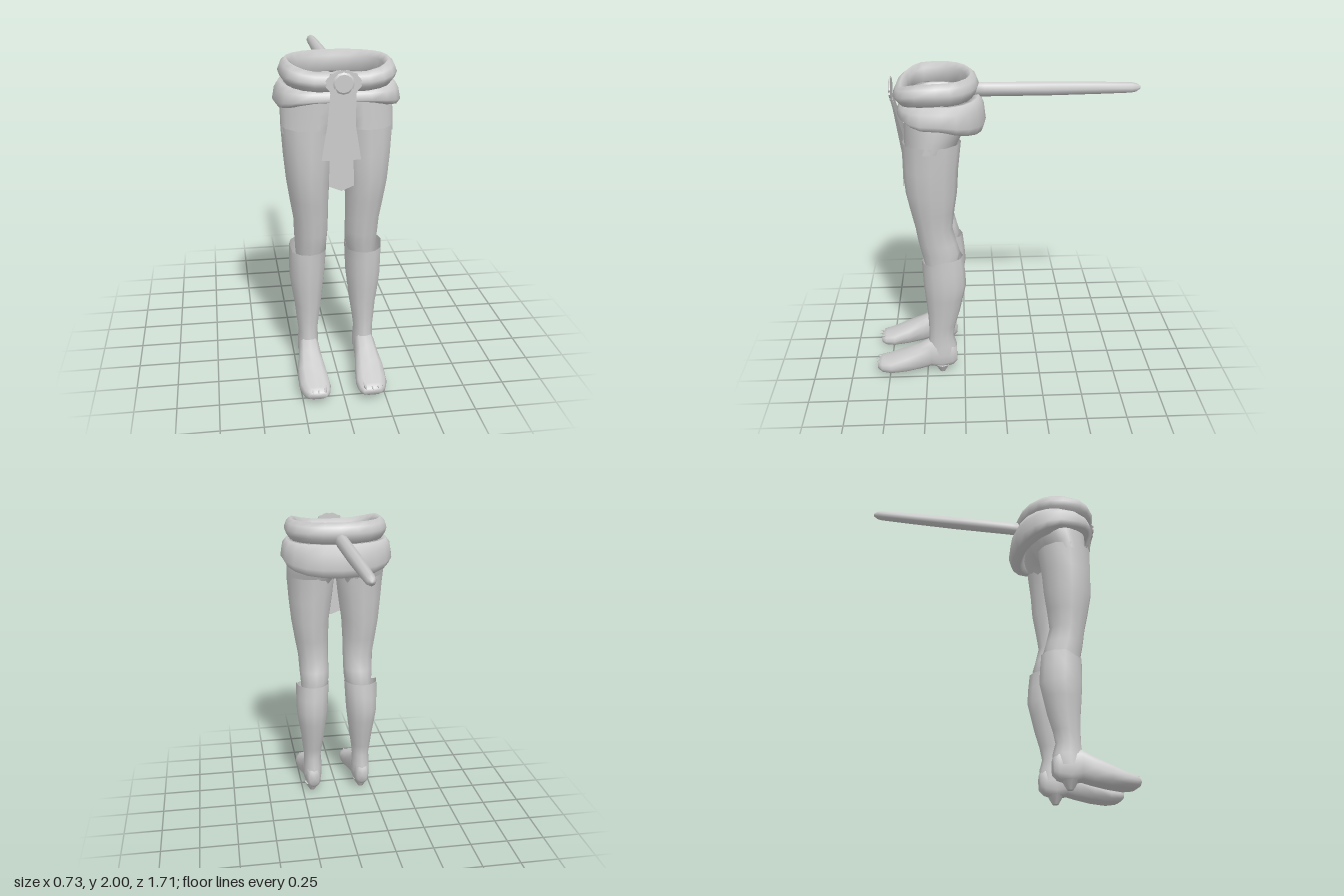
import * as THREE from 'three';

const mat = new THREE.MeshStandardMaterial({ color: 0xcccccc, side: THREE.DoubleSide });

function add(parent, name, geo) {
  const m = new THREE.Mesh(geo, mat);
  m.name = name;
  parent.add(m);
  return m;
}

// Smooth skin over rings of [x, y, z]; optionally joined end to end or capped
function loft(rings, { loop = false, capStart = false, capEnd = false } = {}) {
  const n = rings[0].length, m = rings.length, idx = [];
  const pos = rings.flat();
  for (let i = 0; i < (loop ? m : m - 1); i++) {
    for (let j = 0; j < n; j++) {
      const a = i * n + j, b = i * n + (j + 1) % n;
      const c = ((i + 1) % m) * n + j, d = ((i + 1) % m) * n + (j + 1) % n;
      idx.push(a, c, b, b, c, d);
    }
  }
  const cap = (i, flip) => {
    const r = rings[i], k = pos.length;
    pos.push([0, 1, 2].map(q => r.reduce((s, p) => s + p[q], 0) / n));
    for (let j = 0; j < n; j++) {
      const a = i * n + j, b = i * n + (j + 1) % n;
      idx.push(...(flip ? [k, b, a] : [k, a, b]));
    }
  };
  if (capStart) cap(0, false);
  if (capEnd) cap(m - 1, true);
  const g = new THREE.BufferGeometry();
  g.setAttribute('position', new THREE.Float32BufferAttribute(pos.flat(), 3));
  g.setIndex(idx);
  g.computeVertexNormals();
  return g;
}

const spow = (v, e) => Math.sign(v) * Math.pow(Math.abs(v), e);
const angles = n => Array.from({ length: n }, (_, i) => i / n * Math.PI * 2);

// Horizontal ring between x0..x1 and z0..z1
const ringY = ([y, x0, x1, z0, z1], n = 12) => angles(n).map(a => [
  (x0 + x1) / 2 + Math.cos(a) * (x1 - x0) / 2, y, (z0 + z1) / 2 + Math.sin(a) * (z1 - z0) / 2]);

// Cloth roll around the hips; section(s) gives [inset, y] points, s = -1 back to 1 front
function roll(rx, z0, z1, section) {
  const rings = angles(20).map(a => {
    const s = Math.sin(a), e = s > 0 ? 0.65 : 0.92;
    const cx = spow(Math.cos(a), e), cz = spow(s, e);
    return section(s).map(([d, y]) => [cx * (rx - d), y, (z0 + z1) / 2 + cz * ((z1 - z0) / 2 - d)]);
  });
  return loft(rings, { loop: true });
}

function buildLeg(name) {
  const leg = new THREE.Group();
  leg.name = name;

  // Rows: y, inner x, outer x, back z, front z
  const thigh = [
    [0.80, 0.075, 0.245, 0.28, 0.49], [0.88, 0.055, 0.25, 0.265, 0.51], [0.95, 0.052, 0.255, 0.285, 0.525],
    [1.05, 0.052, 0.26, 0.31, 0.54], [1.17, 0.05, 0.28, 0.295, 0.565], [1.30, 0.043, 0.30, 0.275, 0.59],
    [1.45, 0.022, 0.315, 0.265, 0.597], [1.62, 0.002, 0.326, 0.245, 0.60]];
  add(leg, 'thigh', loft(thigh.map(r => ringY(r))));

  const calf = [
    [0.14, 0.11, 0.24, 0.30, 0.50], [0.21, 0.11, 0.24, 0.30, 0.49], [0.28, 0.115, 0.235, 0.32, 0.48],
    [0.36, 0.105, 0.245, 0.305, 0.48], [0.46, 0.09, 0.255, 0.275, 0.485], [0.57, 0.077, 0.273, 0.25, 0.495],
    [0.66, 0.066, 0.284, 0.23, 0.503], [0.76, 0.06, 0.285, 0.237, 0.507], [0.86, 0.055, 0.284, 0.248, 0.51]];
  const calfRings = calf.map(r => ringY(r));
  // The cuff dips slightly at the front
  for (const p of calfRings.at(-1)) p[1] -= p[2] > 0.4 ? 0.03 : 0;
  add(leg, 'calf', loft(calfRings));

  // Foot rows from toes to heel: z, centre x, half width, bottom y, top y
  const foot = [
    [0.83, 0.165, 0.055, 0.04, 0.085], [0.80, 0.168, 0.08, 0.02, 0.105], [0.74, 0.172, 0.094, 0.012, 0.12],
    [0.64, 0.177, 0.09, 0.02, 0.165], [0.54, 0.177, 0.074, 0.035, 0.21], [0.47, 0.176, 0.066, 0.05, 0.25],
    [0.40, 0.176, 0.06, 0.03, 0.26], [0.33, 0.176, 0.052, 0.05, 0.24], [0.30, 0.176, 0.035, 0.08, 0.19]];
  add(leg, 'foot', loft(foot.map(([z, x, w, b, t]) => angles(12).map(a => [
    x + spow(Math.cos(a), 0.8) * w, (b + t) / 2 + spow(Math.sin(a), 0.8) * (t - b) / 2, z])),
  { capStart: true, capEnd: true }));

  // Pointed heel pad
  add(leg, 'heel', new THREE.CylinderGeometry(0.055, 0.02, 0.06, 8)).position.set(0.18, 0.03, 0.40);

  // Toe claws
  [[0.122, 0.018, 0.795], [0.162, 0.012, 0.80], [0.197, 0.012, 0.79], [0.228, 0.011, 0.775]].forEach(([x, r, z]) => {
    const claw = add(leg, 'claw', new THREE.ConeGeometry(r, 0.065, 5));
    claw.rotation.x = Math.PI / 2;
    claw.position.set(x, 0.088, z + 0.02);
  });
  return leg;
}

// Thin hanging cloth strip, from its outline
function strip(points, z) {
  const g = new THREE.ShapeGeometry(new THREE.Shape(points.map(p => new THREE.Vector2(...p))));
  const p = g.attributes.position;
  for (let i = 0; i < p.count; i++) p.setZ(i, z + Math.max(0, p.getY(i) - 1.7) * 0.35);
  return g;
}

export function createModel() {
  const model = new THREE.Group();

  // Legs
  model.add(buildLeg('leftLeg'));
  const right = buildLeg('rightLeg');
  right.scale.x = -1;
  model.add(right);

  // Open pelvis shell: pinched into two thigh openings at the bottom
  const pelvis = [
    [1.58, 0.324, 0.26, 0.60, 0.96], [1.64, 0.326, 0.23, 0.60, 0.6], [1.70, 0.326, 0.20, 0.60, 0.3],
    [1.78, 0.32, 0.18, 0.60, 0.1], [1.93, 0.29, 0.175, 0.60, 0]];
  add(model, 'pelvis', loft(pelvis.map(([y, x, z0, z1, pinch]) => ringY([y, -x, x, z0, z1], 32).map(p => {
    const mid = (z0 + z1) / 2;
    return [p[0], p[1], mid + (p[2] - mid) * (1 - pinch * Math.exp(-((p[0] / 0.05) ** 2)))];
  }))));

  // Upper waist roll
  add(model, 'waistRoll', roll(0.335, 0.13, 0.645, s => {
    const f = Math.max(s, 0) ** 2, y = 1.933 - 0.038 * f, h = 0.067 - 0.015 * f;
    return [[0, y], [0.015, y + h * 0.6], [0.045, y + h], [0.075, y + h * 0.5],
      [0.075, y - h * 0.8], [0.035, y - h], [0.012, y - h * 0.5]];
  }));

  // Lower roll, sagging at the back and gathered at the front
  add(model, 'hipRoll', roll(0.365, 0.09, 0.625, s => {
    const f = Math.max(s, 0) ** 2, b = Math.max(-s, 0);
    const top = 1.87 - 0.02 * f, bot = 1.715 - 0.07 * b + 0.055 * f, h = top - bot;
    return [[0, bot + h * 0.3], [0.012, top - h * 0.25], [0.04, top], [0.085, top - 0.01],
      [0.11, bot + h * 0.3], [0.075, bot], [0.02, bot + 0.015]];
  }));

  // Tail
  const tail = [[0.20, 0.012], [0.17, 0.042], [0.10, 0.042], [-0.30, 0.041], [-0.60, 0.036], [-0.80, 0.031], [-0.83, 0.025], [-0.855, 0.008]];
  add(model, 'tail', loft(tail.map(([z, r]) => angles(8).map(a => [
    Math.cos(a) * r, 1.89 + Math.sin(a) * r * 1.05, z])), { capStart: true, capEnd: true }));

  // Sash: two side strips behind a long pointed centre strip
  for (const s of [1, -1]) {
    add(model, 'sideSash', strip([[0.03 * s, 1.88], [0.07 * s, 1.88], [0.08 * s, 1.65], [0.113 * s, 1.45], [0.06 * s, 1.45]], 0.599));
  }
  add(model, 'centreSash', strip([[-0.05, 1.88], [0.05, 1.88], [0.062, 1.6], [0.073, 1.3], [0, 1.27], [-0.073, 1.3], [-0.062, 1.6]], 0.608));

  // Scalloped flat knot with a raised oval centre
  const petals = new THREE.Shape(angles(32).map(a => {
    const r = 1 - 0.1 * Math.cos(a * 6) ** 2;
    return new THREE.Vector2(Math.cos(a) * r * 0.102, Math.sin(a) * r * 0.075);
  }));
  add(model, 'knot', new THREE.ExtrudeGeometry(petals, { depth: 0.008, bevelEnabled: false })).position.set(0, 1.902, 0.657);
  const centre = add(model, 'knotCentre', new THREE.CylinderGeometry(0.05, 0.062, 0.008, 12));
  centre.rotation.x = Math.PI / 2;
  centre.position.set(0, 1.902, 0.668);

  return model;
}
